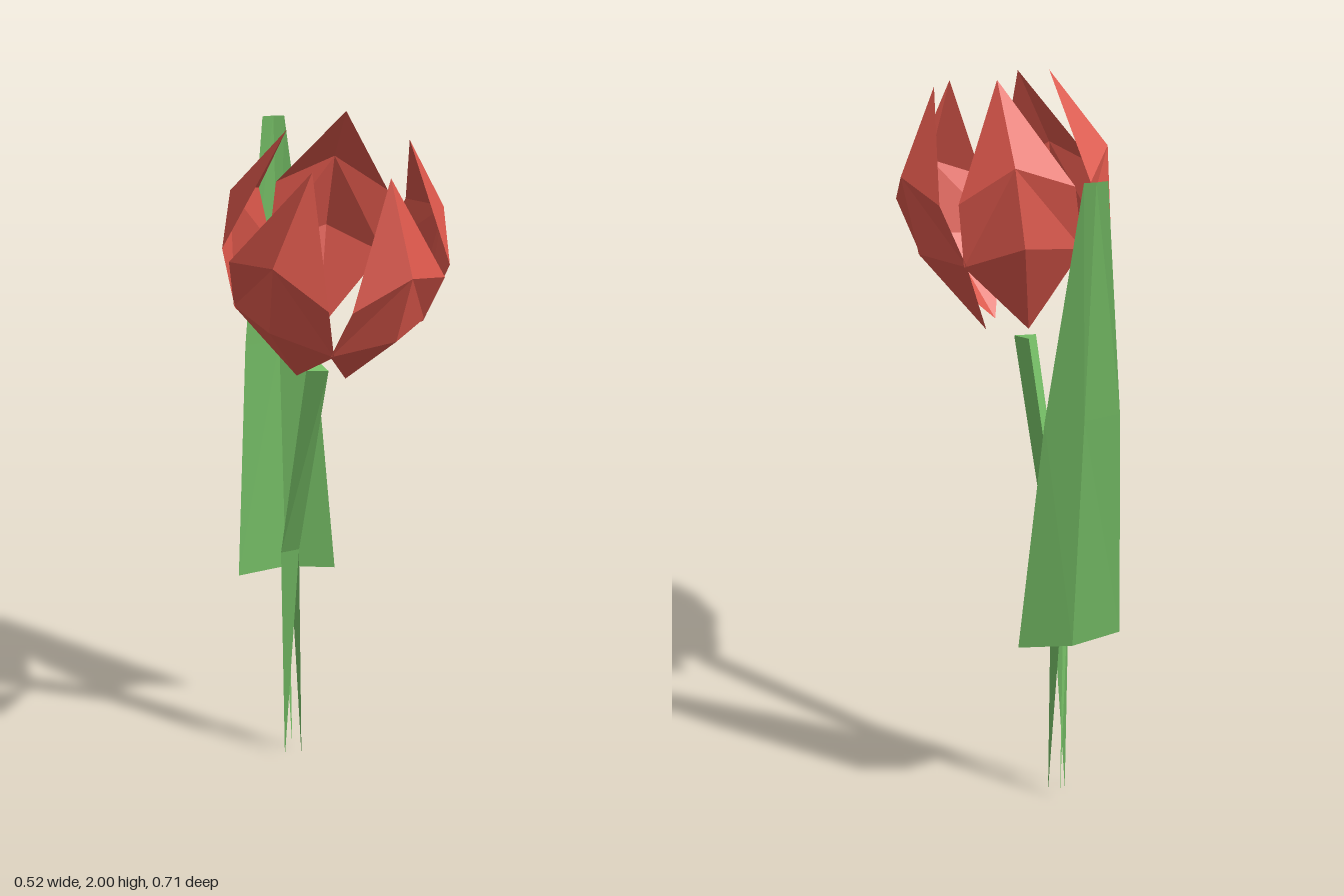
import * as THREE from 'three';

const material = (color) =>
  new THREE.MeshStandardMaterial({ color, flatShading: true, side: THREE.DoubleSide });

// Flat-shaded mesh from corner points and triangles.
function facetMesh(name, points, triangles, mat) {
  const geometry = new THREE.BufferGeometry();
  geometry.setAttribute('position', new THREE.Float32BufferAttribute(points.flat(), 3));
  geometry.setIndex(triangles.flat());
  const flat = geometry.toNonIndexed();
  flat.computeVertexNormals();
  const mesh = new THREE.Mesh(flat, mat);
  mesh.name = name;
  return mesh;
}

// Point at an angle (degrees), radius and height around the blossom axis.
function polar(degrees, radius, height) {
  const a = THREE.MathUtils.degToRad(degrees);
  return [radius * Math.sin(a), height, radius * Math.cos(a)];
}

// Pointed, cupped petal: base, lower row, upper row, tip.
function createPetal(mat) {
  const points = [
    polar(0, 0.1, 0),
    polar(-37, 0.232, 0.186), polar(0, 0.244, 0.215), polar(37, 0.232, 0.186),
    polar(-30.5, 0.265, 0.336), polar(0, 0.259, 0.4), polar(30.5, 0.265, 0.336),
    polar(0, 0.143, 0.589),
  ];
  const triangles = [
    [0, 2, 1], [0, 3, 2],
    [1, 2, 5], [1, 5, 4], [2, 3, 5], [3, 6, 5],
    [4, 5, 7], [5, 6, 7],
  ];
  return facetMesh('petal', points, triangles, mat);
}

export function createModel() {
  const model = new THREE.Group();
  model.name = 'flower';
  const green = material(0x78c268);
  const red = material(0xd9564a);

  // Blossom: five petals around a tilted axis
  const blossom = new THREE.Group();
  blossom.name = 'blossom';
  for (let i = 0; i < 5; i++) {
    const petal = createPetal(red);
    petal.rotation.y = THREE.MathUtils.degToRad(30 + 72 * i);
    blossom.add(petal);
  }
  blossom.position.set(-0.023, 1.395, 0.02);
  blossom.quaternion.setFromUnitVectors(
    new THREE.Vector3(0, 1, 0), new THREE.Vector3(0.076, 0.968, 0.238).normalize());
  model.add(blossom);

  // Stem: bent three-sided prism that splits into three spikes
  const stemPoints = [
    [-0.11, 0, -0.13], [-0.06, 0, -0.132], [-0.082, 0, -0.176],
    [-0.11, 0.73, -0.13], [-0.06, 0.735, -0.132], [-0.082, 0.75, -0.176],
    [-0.057, 1.355, 0.02], [-0.003, 1.355, 0.027], [-0.027, 1.365, -0.022],
  ];
  const stemTriangles = [[6, 7, 8]];
  for (let i = 0; i < 3; i++) {
    const j = (i + 1) % 3;
    stemTriangles.push([i, 3 + j, 3 + i], [3 + i, 3 + j, 6 + j], [3 + i, 6 + j, 6 + i]);
  }
  model.add(facetMesh('stem', stemPoints, stemTriangles, green));

  // Leaf: tapering blade folded along its middle; rows of half width, height, edge z, fold z
  const leafRows = [
    [0.137, 0.595, -0.234, -0.262],
    [0.092, 1.28, -0.3, -0.316],
    [0.027, 1.875, -0.355, -0.357],
  ];
  const leafPoints = leafRows.flatMap(([w, y, edge, fold]) =>
    [[-0.082 - w, y, edge], [-0.082, y, fold], [-0.082 + w, y, edge]]);
  const leafTriangles = [];
  for (const k of [0, 1, 3, 4]) leafTriangles.push([k, k + 1, k + 4], [k, k + 4, k + 3]);
  model.add(facetMesh('leaf', leafPoints, leafTriangles, green));

  return model;
}
